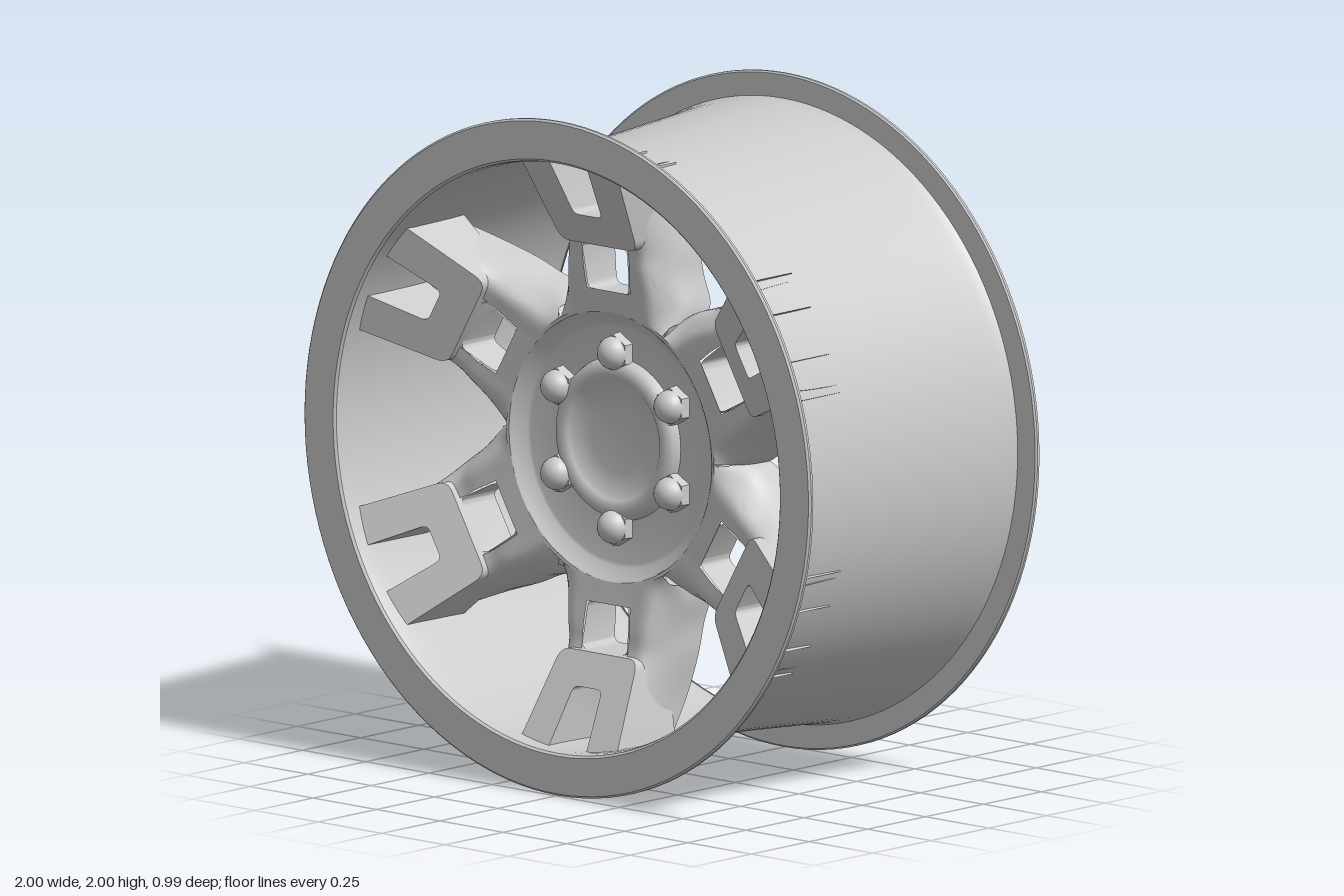
import * as THREE from 'three';
import { toCreasedNormals } from 'three/addons/utils/BufferGeometryUtils.js';

const material = new THREE.MeshStandardMaterial({ color: 0xcccccc, side: THREE.DoubleSide });
const V = (x, y, z) => new THREE.Vector3(x, y, z);

function add(parent, name, geometry) {
  const mesh = new THREE.Mesh(geometry, material);
  mesh.name = name;
  parent.add(mesh);
  return mesh;
}

// Revolved [radius, z] profile around the wheel axis (z)
function revolve(profile, segments = 96, crease = 0.6) {
  const g = new THREE.LatheGeometry(profile.map(([r, z]) => new THREE.Vector2(r, z)), segments);
  return toCreasedNormals(g.rotateX(Math.PI / 2), crease);
}

// Surface from rows of points of equal length
function surface(rows, crease = 0.7) {
  const n = rows[0].length;
  const index = [];
  for (let i = 0; i < rows.length - 1; i++) {
    for (let j = 0; j < n - 1; j++) {
      const a = i * n + j, b = a + n;
      index.push(a, a + 1, b, a + 1, b + 1, b);
    }
  }
  const g = new THREE.BufferGeometry().setFromPoints(rows.flat());
  g.setIndex(index);
  return toCreasedNormals(g, crease);
}

// Wall standing along a 2D path, from a sloping front edge to a flat back edge
const wall = (path, front, back) => surface([
  path.map((p) => V(p.x, p.y, front(p.y))),
  path.map((p) => V(p.x, p.y, back)),
]);

const bodyFront = (y) => 0.265 + (y - 0.4) * 0.13;
const bracketFront = (y) => 0.31 + (y - 0.6) * 0.52;

// Half of one spoke: columns run outward from hub to barrel,
// from the window edge over the shoulder to the back edge of the side wall
function spokeHalf(side) {
  const columns = [
    [[0.09, 0.39, 0.265], [0.085, 0.46, 0.273], [0.09, 0.53, 0.282], [0.09, 0.6, 0.29], [0.09, 0.72, 0.34], [0.09, 0.87, 0.41]],
    [[0.14, 0.375, 0.265], [0.152, 0.45, 0.27], [0.148, 0.53, 0.28], [0.14, 0.6, 0.287], [0.145, 0.72, 0.34], [0.15, 0.86, 0.41]],
    [[0.175, 0.36, 0.265], [0.19, 0.435, 0.24], [0.182, 0.53, 0.24], [0.172, 0.6, 0.25], [0.162, 0.72, 0.29], [0.16, 0.86, 0.34]],
    [[0.2, 0.346, 0.265], [0.232, 0.42, 0.19], [0.21, 0.52, 0.18], [0.202, 0.6, 0.18], [0.18, 0.72, 0.2], [0.165, 0.86, 0.24]],
    [[0.22, 0.381, 0.25], [0.24, 0.418, 0.1], [0.217, 0.52, 0.1], [0.208, 0.6, 0.11], [0.184, 0.72, 0.13], [0.166, 0.86, 0.19]],
  ].map((c) => new THREE.CatmullRomCurve3(c.map(([x, y, z]) => V(side * x, y, z))));
  const rows = [];
  for (let i = 0; i <= 24; i++) {
    rows.push(new THREE.CatmullRomCurve3(columns.map((c) => c.getPoint(i / 24))).getPoints(16));
  }
  return surface(rows, 1.2);
}

// Path with rounded corners through [x, y] points
function roundedPath(points, r, closed = false) {
  const path = new THREE.Path();
  const p = points.map(([x, y]) => new THREE.Vector2(x, y));
  const n = p.length;
  const toward = (a, b) => a.clone().add(b.clone().sub(a).setLength(r));
  if (!closed) path.moveTo(p[0].x, p[0].y);
  for (let i = closed ? 0 : 1; i < (closed ? n : n - 1); i++) {
    const s = toward(p[i], p[(i + n - 1) % n]), e = toward(p[i], p[(i + 1) % n]);
    if (closed && i === 0) path.moveTo(s.x, s.y); else path.lineTo(s.x, s.y);
    path.quadraticCurveTo(p[i].x, p[i].y, e.x, e.y);
  }
  if (closed) path.closePath(); else path.lineTo(p[n - 1].x, p[n - 1].y);
  return path.getPoints(6);
}

function createSpoke() {
  const spoke = new THREE.Group();
  spoke.name = 'spoke';
  add(spoke, 'spokeRight', spokeHalf(-1));
  add(spoke, 'spokeLeft', spokeHalf(1));

  // Bridge between hub and window
  add(spoke, 'spokeRoot', surface([0.4, 0.43, 0.465].map((y) =>
    [-0.09, -0.045, 0, 0.045, 0.09].map((x) => V(x, y === 0.4 ? Math.sqrt(0.16 - x * x) : y, bodyFront(y))))));

  // Window with walls running back
  const windowPath = roundedPath([[-0.08, 0.46], [0.08, 0.46], [0.09, 0.605], [-0.09, 0.605]], 0.025, true);
  add(spoke, 'windowWall', wall(windowPath, bodyFront, 0.15));

  // U-shaped bracket, open at the back, with its prongs piercing the barrel
  const outer = roundedPath([[-0.19, 0.861], [-0.15, 0.605], [0.15, 0.605], [0.19, 0.861]], 0.035);
  const inner = roundedPath([[0.075, 0.879], [0.055, 0.7], [-0.055, 0.7], [-0.075, 0.879]], 0.02);
  const face = new THREE.ShapeGeometry(new THREE.Shape([...outer, ...inner]));
  const pos = face.attributes.position;
  for (let i = 0; i < pos.count; i++) pos.setZ(i, bracketFront(pos.getY(i)));
  face.computeVertexNormals();
  add(spoke, 'bracketFace', face);
  add(spoke, 'bracketOuterWall', wall(outer, bracketFront, 0.19));
  add(spoke, 'bracketInnerWall', wall(inner, bracketFront, 0.19));
  return spoke;
}

function createBolt() {
  const bolt = new THREE.Group();
  bolt.name = 'bolt';
  const collar = new THREE.CylinderGeometry(0.056, 0.06, 0.04, 6).rotateX(Math.PI / 2).translate(0, 0, 0.235);
  add(bolt, 'boltNut', toCreasedNormals(collar, 0.4));
  add(bolt, 'boltDome', new THREE.SphereGeometry(0.05, 24, 12).translate(0, 0, 0.25));
  // Open sleeve behind the hub
  add(bolt, 'boltSleeve', new THREE.CylinderGeometry(0.05, 0.05, 0.31, 24, 1, true)
    .rotateX(Math.PI / 2).translate(0, 0, 0.075));
  return bolt;
}

export function createModel() {
  const model = new THREE.Group();
  model.name = 'wheelRim';
  const wheel = new THREE.Group();
  wheel.name = 'wheel';
  wheel.position.y = 1;
  model.add(wheel);

  // Barrel with a flange at each end
  add(wheel, 'barrel', revolve([
    [0.876, 0.49], [0.871, 0.47], [0.87, 0.4], [0.873, 0.25], [0.88, 0.1], [0.889, -0.05],
    [0.899, -0.2], [0.911, -0.36], [0.918, -0.44], [0.924, -0.475], [0.935, -0.492],
  ], 128, 1));
  add(wheel, 'frontFlange', revolve([
    [0.873, 0.478], [0.995, 0.478], [1, 0.483], [1, 0.491], [0.994, 0.497], [0.882, 0.497], [0.875, 0.49], [0.873, 0.478],
  ], 128));
  add(wheel, 'backFlange', revolve([
    [0.922, -0.478], [0.995, -0.478], [1, -0.483], [1, -0.491], [0.994, -0.497], [0.945, -0.497], [0.93, -0.491], [0.922, -0.478],
  ], 128));

  // Recessed hub dish
  add(wheel, 'hub', revolve([
    [0.2, 0.225], [0.35, 0.225], [0.36, 0.228], [0.392, 0.258], [0.4, 0.265], [0.41, 0.266],
  ]));

  for (let i = 0; i < 6; i++) {
    const spoke = createSpoke();
    spoke.rotation.z = i * Math.PI / 3;
    wheel.add(spoke);
  }

  // Centre cap and bolts, set slightly above the axis
  const centre = new THREE.Group();
  centre.name = 'hubCentre';
  centre.position.y = 0.02;
  wheel.add(centre);
  add(centre, 'centreCap', revolve([
    [0, 0.232], [0.1, 0.234], [0.17, 0.24], [0.18, 0.25], [0.195, 0.258], [0.215, 0.257], [0.232, 0.247], [0.242, 0.222],
  ], 64, 0.9));
  for (let i = 0; i < 6; i++) {
    const pivot = new THREE.Group();
    pivot.name = 'boltPivot';
    pivot.rotation.z = i * Math.PI / 3;
    const bolt = createBolt();
    bolt.position.y = 0.258;
    pivot.add(bolt);
    centre.add(pivot);
  }
  return model;
}
